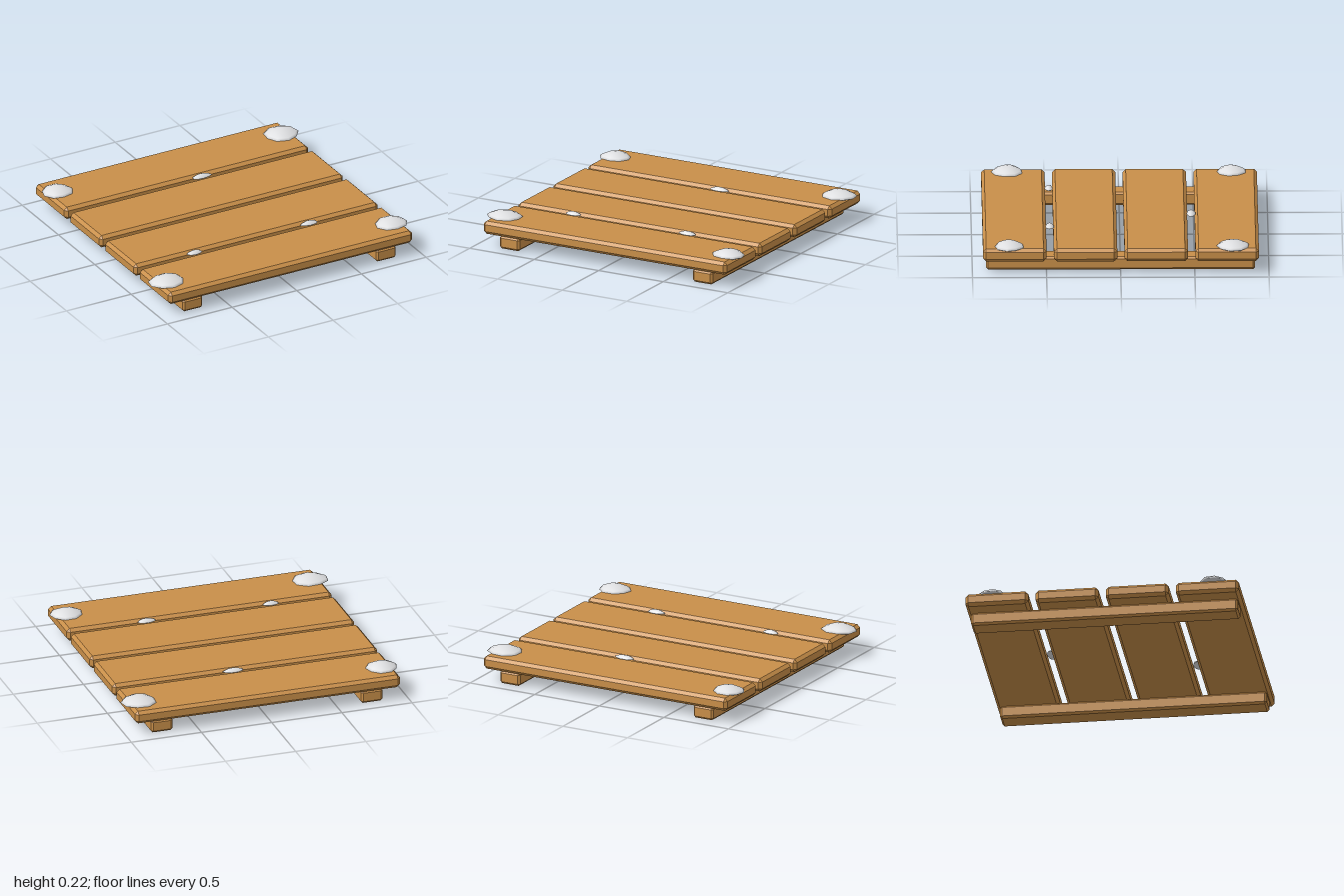
import * as THREE from 'three';
import { mergeVertices } from 'three/addons/utils/BufferGeometryUtils.js';
import { ConvexGeometry } from 'three/addons/geometries/ConvexGeometry.js';

const wood = new THREE.MeshStandardMaterial({ color: 0xc98f49 });
wood.name = 'wood';
const snow = new THREE.MeshStandardMaterial({ color: 0xdfe0e2 });
snow.name = 'snow';

// Box with every edge and corner cut by c
function chamferedBox(w, h, d, c) {
  const points = [];
  for (const x of [-0.5, 0.5]) for (const y of [-0.5, 0.5]) for (const z of [-0.5, 0.5]) {
    for (let full = 0; full < 3; full++) {
      const cut = [0, 1, 2].map((axis) => (axis === full ? 0 : 2 * c));
      points.push(new THREE.Vector3(x * (w - cut[0]), y * (h - cut[1]), z * (d - cut[2])));
    }
  }
  return new ConvexGeometry(points);
}

// Low closed mound with a slightly uneven rim
function mound(rx, height, rz, seed) {
  const profile = [[0, 0], [0.9, 0], [1, 0.12], [0.87, 0.4], [0.5, 0.78], [0, 1]]
    .map(([r, y]) => new THREE.Vector2(r, y));
  let geometry = new THREE.LatheGeometry(profile, 9);
  const p = geometry.attributes.position;
  for (let i = 0; i < p.count; i++) {
    const x = p.getX(i), z = p.getZ(i);
    const k = 0.97 + 0.04 * Math.sin(3 * Math.atan2(z, x) + seed);
    p.setXYZ(i, x * rx * k, p.getY(i) * height, z * rz * k);
  }
  geometry.deleteAttribute('uv');
  geometry.deleteAttribute('normal');
  geometry = mergeVertices(geometry, 1e-5);
  geometry.computeVertexNormals();
  return geometry;
}

export function createModel() {
  const group = new THREE.Group();
  group.name = 'snowyPlankPlatform';
  const add = (name, geometry, material, x, y, z) => {
    const mesh = new THREE.Mesh(geometry, material);
    mesh.name = name;
    mesh.position.set(x, y, z);
    group.add(mesh);
  };

  // Four deck planks
  const plank = chamferedBox(1.886, 0.09, 0.428, 0.021);
  [-0.718, -0.24, 0.237, 0.714].forEach((z, i) => add('plank' + (i + 1), plank, wood, 0, 0.135, z));

  // Two supporting beams
  const beam = chamferedBox(0.154, 0.09, 1.814, 0.014);
  add('leftBeam', beam, wood, 0.748, 0.045, 0);
  add('rightBeam', beam, wood, -0.748, 0.045, 0);

  // Snow mounds on the corners: x, z, radius x, radius z
  [[-0.865, -0.758, 0.113, 0.104], [0.866, -0.758, 0.126, 0.115],
    [-0.869, 0.753, 0.13, 0.11], [0.867, 0.752, 0.118, 0.103]]
    .forEach(([x, z, rx, rz], i) => add('cornerSnow' + (i + 1), mound(rx, 0.048, rz, i * 2), snow, x, 0.174, z));

  // Small patches of snow in the gaps
  [[0.097, -0.48, 0.076, 0.032], [-0.495, 0.475, 0.06, 0.029], [0.39, 0.475, 0.068, 0.031]]
    .forEach(([x, z, rx, rz], i) => add('gapSnow' + (i + 1), mound(rx, 0.025, rz, i * 2 + 1), snow, x, 0.172, z));

  return group;
}
